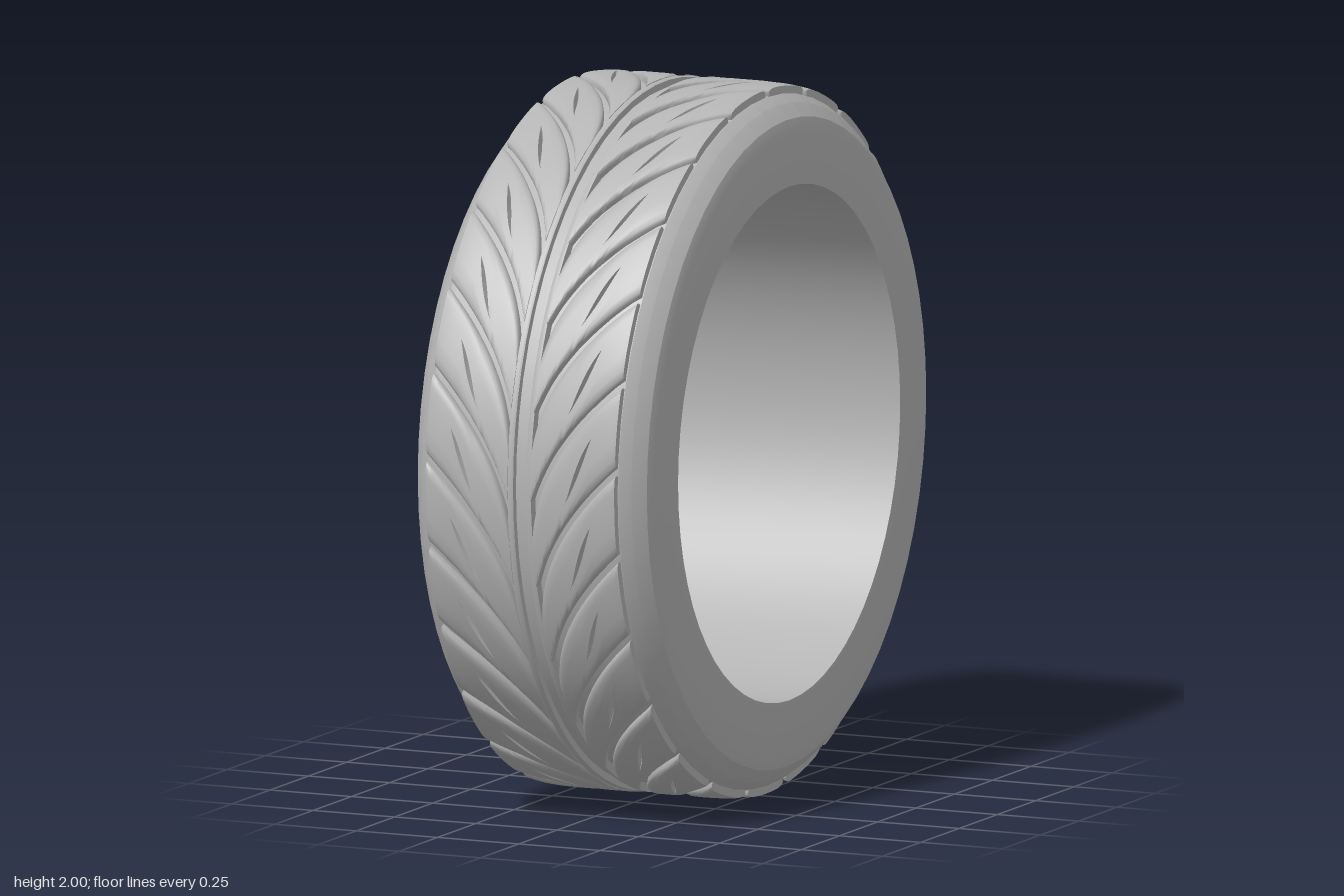
import * as THREE from 'three';
import { toCreasedNormals } from 'three/addons/utils/BufferGeometryUtils.js';

const BLOCKS = 25, PITCH = Math.PI * 2 / BLOCKS;
const X0 = 0.035, X1 = 0.29;      // tread block from centre rib to shoulder
const BASE = 0.976, TOP = 1.0;    // groove floor and crown radius

// Ring turned around the x axis from [radius, x] points
function ring(points, segments, crease) {
  const geo = new THREE.LatheGeometry(points.map(p => new THREE.Vector2(p[0], p[1])), segments);
  geo.rotateZ(-Math.PI / 2);
  return toCreasedNormals(geo, crease);
}

// Angle of the curved groove at t (0 = centre, 1 = shoulder), and its slope
const sweep = t => 0.48 * Math.sqrt(t + 0.03);
const slope = t => 0.24 / Math.sqrt(t + 0.03) / (X1 - X0);

// One puffed, leaf-shaped tread block with a thorn-shaped sipe
function blockGeometry(side) {
  const rows = 30, edge = [[0, 0], [0, 0.6], [0.06, 0.82], [0.2, 0.97], [0.5, 1], [0.8, 1], [1, 1]];
  const pos = [], idx = [];
  const cols = edge.length * 2 + 1;
  for (let i = -1; i <= rows + 1; i++) {
    const u = THREE.MathUtils.clamp(i / rows, 0, 1), t = Math.pow(u, 1.3);
    const x = X0 + (X1 - X0) * t;
    const gap = 0.017 * Math.hypot(1, slope(t));
    const wall = i < 0 || i > rows ? 0 : 1;
    // Sipe: steep slit through the middle of the block
    const k = THREE.MathUtils.clamp((x - 0.145) / 0.07, 0, 1);
    const cut = Math.sin(Math.PI * k), mid = 0.25 + 0.42 * k, half = 0.004 + 0.075 * cut;
    const line = [
      ...edge.map(([f, h]) => [f * (mid - half), h]),
      [mid, 1 - 0.9 * Math.min(1, cut * 1.6)],
      ...edge.slice().reverse().map(([f, h]) => [1 - f * (1 - mid - half), h])
    ];
    // Slight rounding toward the shoulder
    const crown = 1 - 0.22 * Math.pow(t, 8);
    for (const [v, h] of line) {
      const a = sweep(t) + gap / 2 + v * (PITCH - gap);
      const r = BASE - 0.006 + (TOP - BASE + 0.006) * h * wall * crown;
      pos.push(side * x, r * Math.sin(a), r * Math.cos(a));
    }
  }
  for (let i = 0; i < rows + 2; i++) for (let j = 0; j < cols - 1; j++) {
    const a = i * cols + j, b = a + cols;
    if (side > 0) idx.push(a, b, b + 1, a, b + 1, a + 1);
    else idx.push(a, b + 1, b, a, a + 1, b + 1);
  }
  const geo = new THREE.BufferGeometry();
  geo.setAttribute('position', new THREE.Float32BufferAttribute(pos, 3));
  geo.setIndex(idx);
  return toCreasedNormals(geo, 0.9);
}

export function createModel() {
  const model = new THREE.Group();
  model.name = 'tyre';
  const rubber = new THREE.MeshStandardMaterial({ color: 0xb4b4b4 });
  rubber.name = 'grey rubber';
  const wheel = new THREE.Group();
  wheel.name = 'wheel';
  wheel.position.y = 1;
  model.add(wheel);
  const add = (geo, name, parent = wheel) => {
    const mesh = new THREE.Mesh(geo, rubber);
    mesh.name = name;
    parent.add(mesh);
    return mesh;
  };

  // Carcass: bore, flat sidewalls, stepped shoulders and groove floor
  const half = [[0.725, 0.36], [0.88, 0.36], [0.912, 0.352], [0.95, 0.322], [0.971, 0.292], [BASE, 0.27]];
  const profile = [
    ...half.map(([r, x]) => [r, -x]),
    ...half.slice().reverse(),
    [0.725, -0.36]
  ];
  add(ring(profile, 60, 0.3), 'carcass');

  // Continuous ribs either side of the centre groove
  for (const side of [1, -1]) {
    const rib = [[0.97, 0.02], [0.995, 0.02], [0.998, 0.026], [0.998, 0.036], [0.97, 0.04]];
    const pts = side > 0 ? rib : rib.map(([r, x]) => [r, -x]).reverse();
    add(ring(pts, 75, 0.6), side > 0 ? 'leftCentreRib' : 'rightCentreRib');
  }

  // Tread blocks, mirrored across the centre and repeated around
  for (const side of [1, -1]) {
    const tread = new THREE.Group();
    tread.name = side > 0 ? 'leftTread' : 'rightTread';
    wheel.add(tread);
    const geo = blockGeometry(side);
    for (let i = 0; i < BLOCKS; i++)
      add(geo, 'treadBlock', tread).rotation.x = -(0.083 + i * PITCH);
  }
  return model;
}
